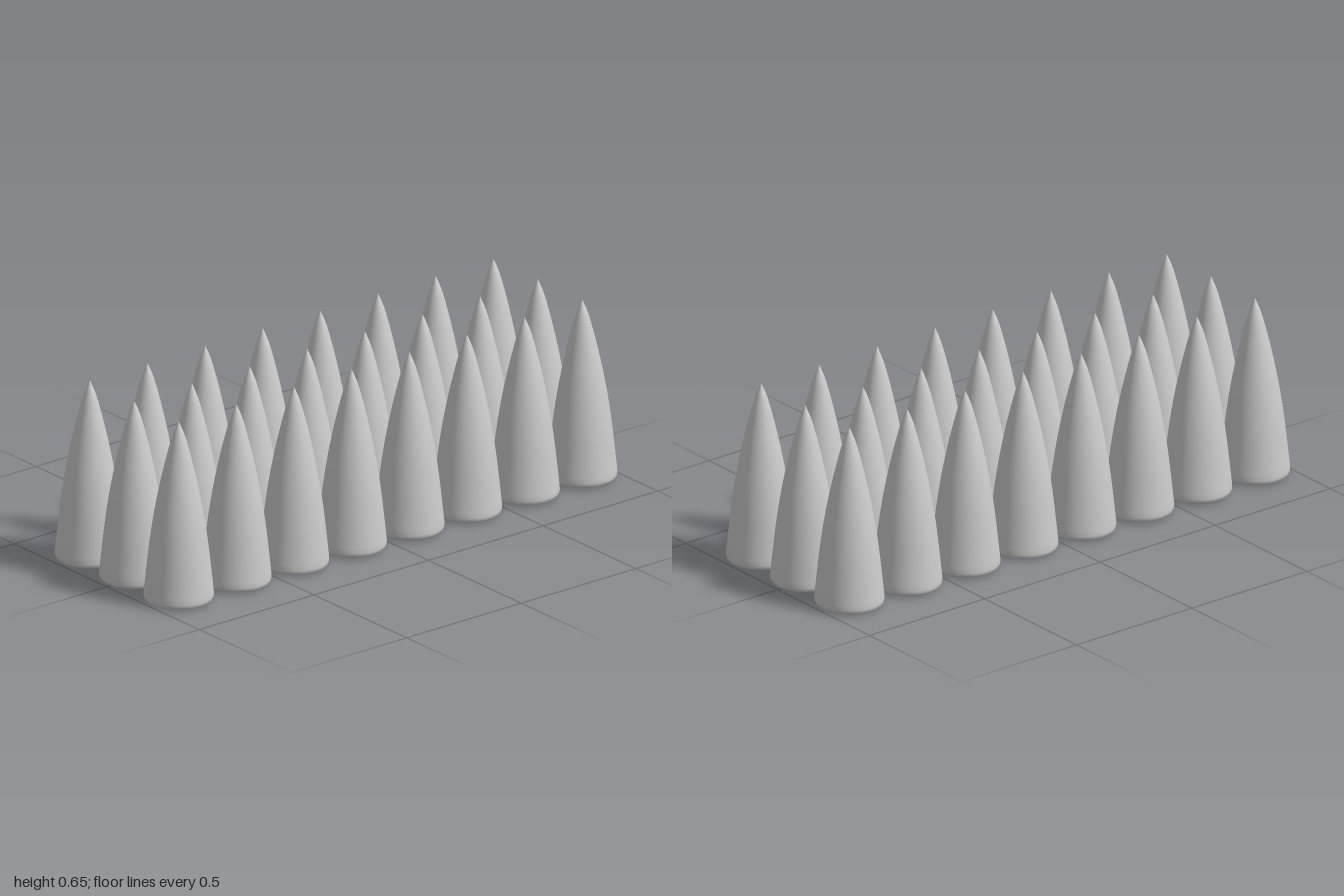
import * as THREE from 'three';

const COLUMNS = 8, ROWS = 3;
const SPACING_X = 1.76 / 7, SPACING_Z = 0.24;

// Pointed, gently bulging body with a rounded foot and a shallow domed underside
function spikeGeometry() {
  const v = (x, y) => new THREE.Vector2(x, y);
  const underside = [v(0, 0), v(0.075, 0.003), v(0.108, 0.005), v(0.114, 0.007), v(0.118, 0.012)];
  const flank = new THREE.SplineCurve([
    v(0.12, 0.022), v(0.112, 0.1), v(0.101, 0.2), v(0.087, 0.3),
    v(0.069, 0.4), v(0.047, 0.5), v(0.022, 0.595), v(0, 0.65),
  ]).getPoints(21);
  flank[flank.length - 1].x = 0;
  return new THREE.LatheGeometry([...underside, ...flank], 48);
}

export function createModel() {
  const group = new THREE.Group();
  group.name = 'spikeGrid';
  const geometry = spikeGeometry();
  const material = new THREE.MeshStandardMaterial({ color: 0xcccccc });

  // Rows of identical spikes
  for (let row = 0; row < ROWS; row++) {
    const rowGroup = new THREE.Group();
    rowGroup.name = `spikeRow${row + 1}`;
    rowGroup.position.z = (row - (ROWS - 1) / 2) * SPACING_Z;
    for (let col = 0; col < COLUMNS; col++) {
      const spike = new THREE.Mesh(geometry, material);
      spike.name = `spike${col + 1}`;
      spike.position.x = (col - (COLUMNS - 1) / 2) * SPACING_X;
      rowGroup.add(spike);
    }
    group.add(rowGroup);
  }
  return group;
}
